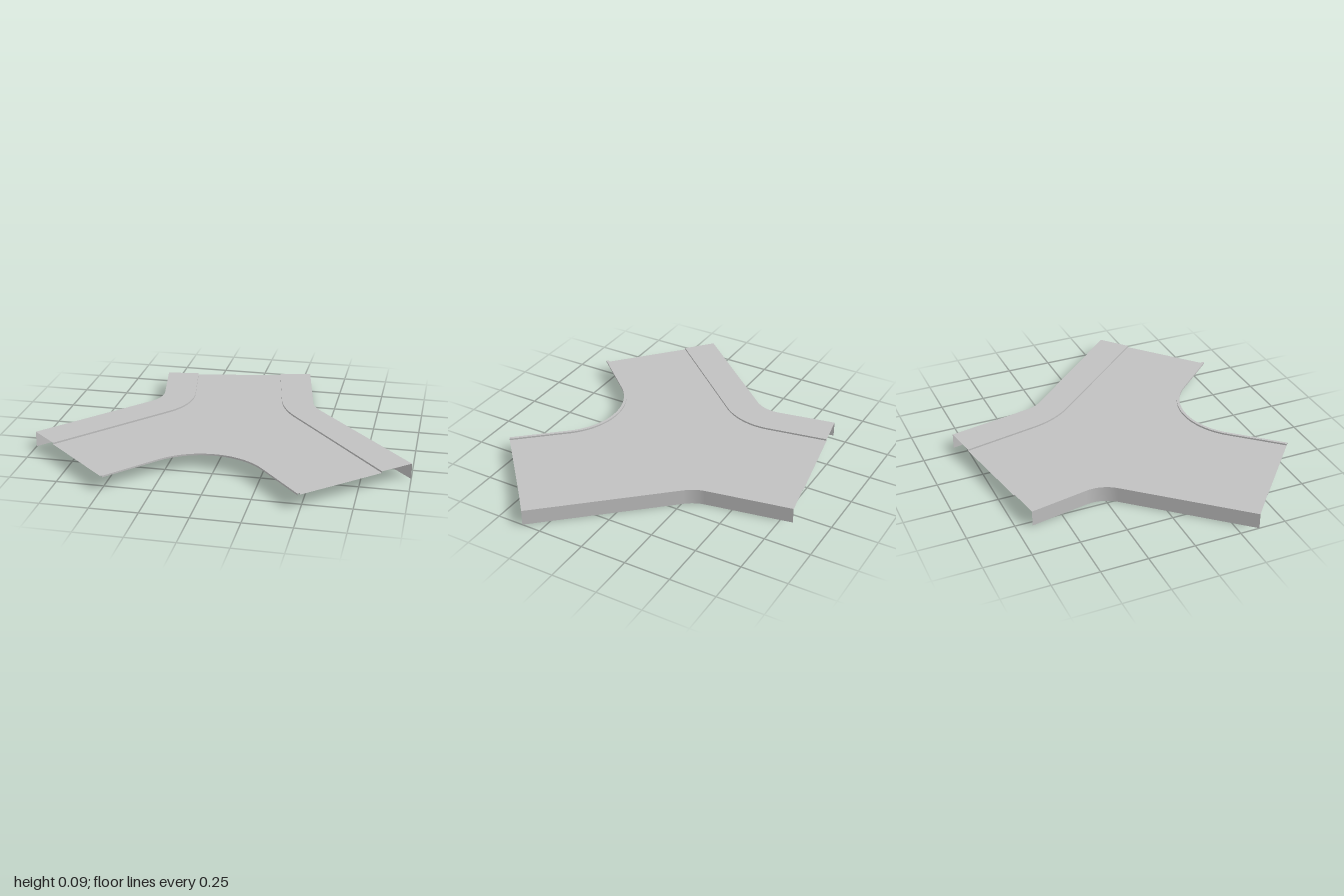
import * as THREE from 'three';

const ROAD_Y = 0.076, WALK_Y = 0.085;

// Polyline with one rounded corner: start, corner, end, tangent length
function bend(start, corner, end, d, steps = 14) {
  const [a, c, b] = [start, corner, end].map(p => new THREE.Vector2(...p));
  const toward = (p, len) => p.clone().sub(c).setLength(len).add(c);
  const curve = new THREE.CubicBezierCurve(
    toward(a, d), toward(a, d * 0.37), toward(b, d * 0.37), toward(b, d));
  return [a, ...curve.getPoints(steps), b];
}

// Straight, arc and straight along the concave front edge
function frontEdge(radius, endX, endZ, steps = 28) {
  const pts = [new THREE.Vector2(-endX, endZ)];
  for (let i = 0; i <= steps; i++) {
    const t = THREE.MathUtils.degToRad(-49 + 98 * i / steps);
    pts.push(new THREE.Vector2(radius * Math.sin(t), 0.805 - radius * Math.cos(t)));
  }
  pts.push(new THREE.Vector2(endX, endZ));
  return pts;
}

export function createModel() {
  const group = new THREE.Group();
  const concrete = new THREE.MeshStandardMaterial({ color: 0xc0c0c0, side: THREE.DoubleSide });
  concrete.name = 'concrete grey';

  const add = (name, geometry) => {
    const mesh = new THREE.Mesh(geometry, concrete);
    mesh.name = name;
    group.add(mesh);
  };

  // Horizontal sheet outlined by x, z points
  const slab = (name, outline, y) => {
    const shape = new THREE.Shape(outline.map(p => new THREE.Vector2(p.x, -p.y)));
    add(name, new THREE.ShapeGeometry(shape).rotateX(-Math.PI / 2).translate(0, y, 0));
  };

  // Vertical sheet following x, z points
  const wall = (name, path, y0, y1) => {
    const pos = [], index = [];
    path.forEach((p, i) => {
      pos.push(p.x, y0, p.y, p.x, y1, p.y);
      if (i) {
        const k = 2 * i;
        index.push(k - 2, k, k - 1, k - 1, k, k + 1);
      }
    });
    const g = new THREE.BufferGeometry();
    g.setAttribute('position', new THREE.Float32BufferAttribute(pos, 3));
    g.setIndex(index);
    g.computeVertexNormals();
    add(name, g);
  };

  // Edge lines, from the back end towards the front ends
  const rightOuter = bend([-0.53, -0.667], [-0.455, -0.264], [-1, 0.355], 0.09);
  const rightInner = bend([-0.353, -0.698], [-0.264, -0.203], [-0.86, 0.476], 0.17);
  const leftOuter = bend([0.31, -0.815], [0.406, -0.302], [1, 0.355], 0.055);
  const leftInner = bend([0.133, -0.784], [0.236, -0.246], [0.86, 0.476], 0.13);
  const frontOuter = frontEdge(0.36, 0.487, 0.81);
  const frontInner = frontEdge(0.375, 0.498, 0.8);

  // Roadway with three arms
  slab('roadway', [...rightInner, ...frontInner, ...[...leftInner].reverse()], ROAD_Y);

  // Raised walkways with kerb faces and outer skirts
  for (const [side, outer, inner] of [['right', rightOuter, rightInner], ['left', leftOuter, leftInner]]) {
    slab(side + 'Walkway', [...outer, ...[...inner].reverse()], WALK_Y);
    wall(side + 'Kerb', side === 'right' ? [...inner].reverse() : inner, ROAD_Y, WALK_Y);
    wall(side + 'Skirt', side === 'left' ? [...outer].reverse() : outer, 0, WALK_Y);
  }

  // Narrow raised kerb along the front
  slab('frontKerbTop', [...frontOuter, ...[...frontInner].reverse()], WALK_Y);
  wall('frontKerbInner', [...frontInner].reverse(), ROAD_Y, WALK_Y);
  wall('frontKerbOuter', frontOuter, ROAD_Y, WALK_Y);

  return group;
}
